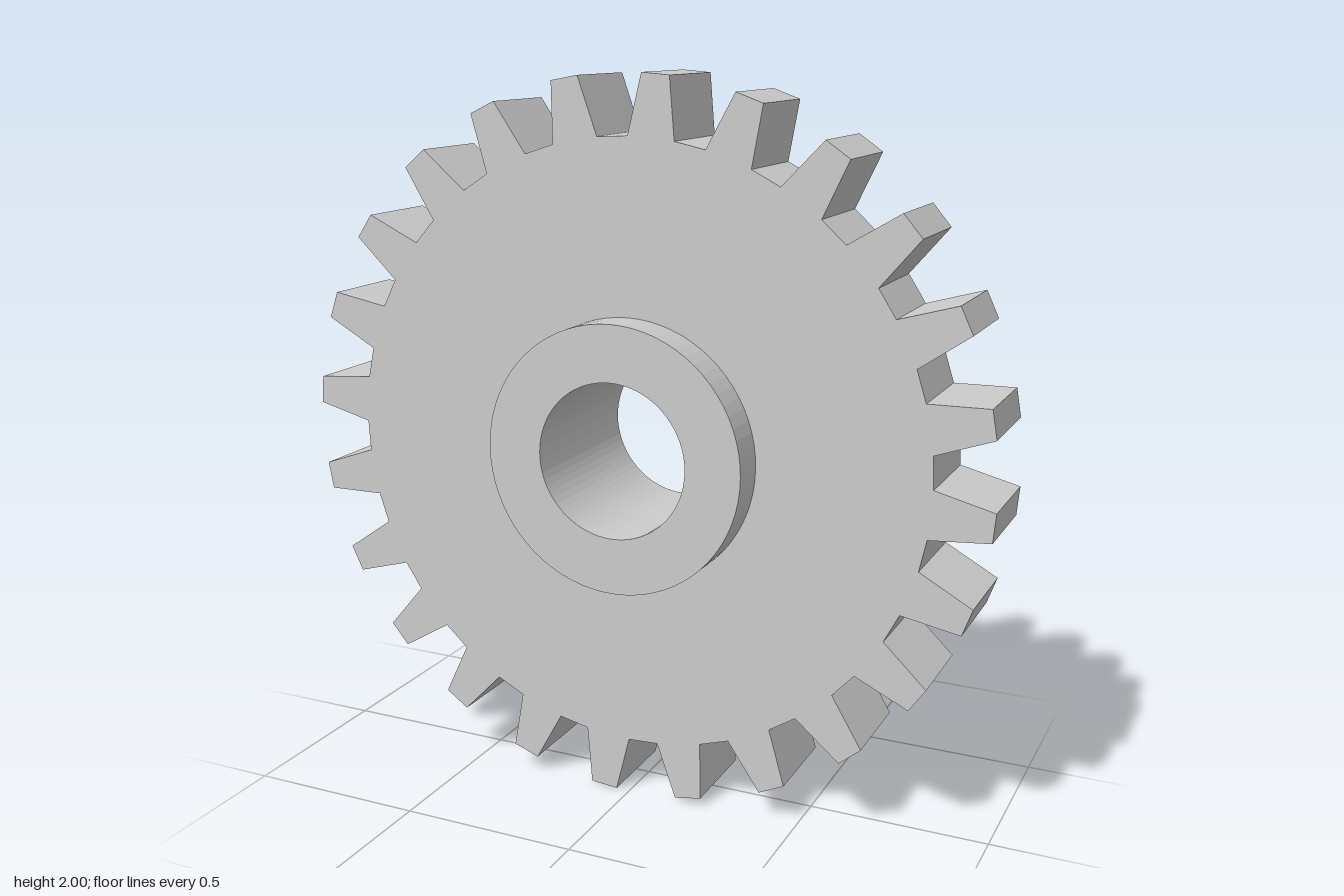
import * as THREE from 'three';

const TEETH = 24;
const TIP_R = 1.0, ROOT_R = 0.84;
const HUB_R = 0.368, BORE_R = 0.213;
const GEAR_W = 0.264, HUB_W = 0.476;

const rad = THREE.MathUtils.degToRad;

// Point at radius r, angle measured clockwise from straight up
const polar = (r, deg) => new THREE.Vector2(r * Math.sin(rad(deg)), r * Math.cos(rad(deg)));

// Extrudes an outline with a round hole, centred on z = 0
function plate(shape, holeRadius, width) {
  shape.holes.push(new THREE.Path().absarc(0, 0, holeRadius, 0, Math.PI * 2, true));
  const geometry = new THREE.ExtrudeGeometry(shape, { depth: width, bevelEnabled: false, curveSegments: 36 });
  return geometry.translate(0, 0, -width / 2);
}

export function createModel() {
  const material = new THREE.MeshStandardMaterial({ color: 0xcccccc });
  const model = new THREE.Group();
  model.name = 'spurGear';

  // Toothed disc: straight-sided tapered teeth with flat gaps
  const outline = [];
  for (let i = 0; i < TEETH; i++) {
    const a = 4.55 + (i * 360) / TEETH;
    outline.push(polar(ROOT_R, a - 4.5), polar(TIP_R, a - 2.25), polar(TIP_R, a + 2.25), polar(ROOT_R, a + 4.5));
  }
  // The disc reaches just inside the hub
  const disc = new THREE.Mesh(plate(new THREE.Shape(outline), HUB_R - 0.02, GEAR_W), material);
  disc.name = 'toothedDisc';

  // Hub collar with the shaft bore, standing proud on both faces
  const hubShape = new THREE.Shape().absarc(0, 0, HUB_R, 0, Math.PI * 2, false);
  const hub = new THREE.Mesh(plate(hubShape, BORE_R, HUB_W), material);
  hub.name = 'hub';

  model.add(disc, hub);
  model.position.y = 1;
  const root = new THREE.Group();
  root.add(model);
  return root;
}
